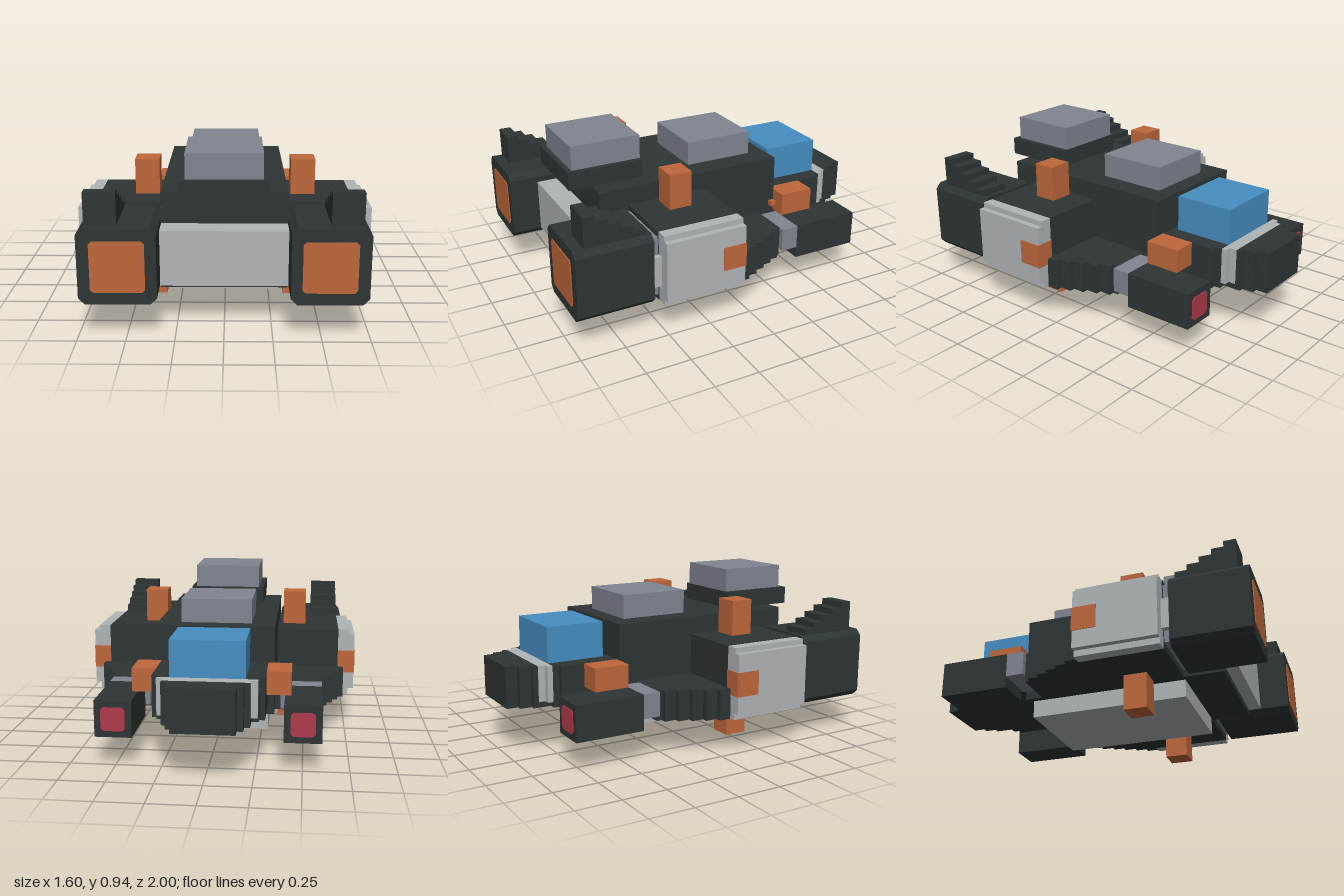
import * as THREE from 'three';

const mat = (name, color) => Object.assign(new THREE.MeshStandardMaterial({ color }), { name });

export function createModel() {
  const dark = mat('dark hull', 0x2d3534);
  const light = mat('light grey armour', 0xb0b5b8);
  const slate = mat('slate grey', 0x808591);
  const orange = mat('orange', 0xbf673b);
  const blue = mat('blue glass', 0x468fc2);
  const red = mat('red', 0xb03a4c);
  const ship = new THREE.Group();
  ship.name = 'ship';

  // Box given by its minimum and maximum on each axis
  function box(name, m, x0, x1, y0, y1, z0, z1) {
    const mesh = new THREE.Mesh(new THREE.BoxGeometry(x1 - x0, y1 - y0, z1 - z0), m);
    mesh.position.set((x0 + x1) / 2, (y0 + y1) / 2, (z0 + z1) / 2);
    mesh.name = name;
    ship.add(mesh);
    return mesh;
  }
  const mid = (name, m, hw, ...yz) => box(name, m, -hw, hw, ...yz);
  function pair(name, m, x0, x1, ...yz) {
    box(name + 'Left', m, x0, x1, ...yz);
    box(name + 'Right', m, -x1, -x0, ...yz);
  }

  // Block extruded along z with clipped corners, mirrored to both sides
  function clippedPair(name, m, x0, x1, y0, y1, z0, z1, c) {
    const w = (x1 - x0) / 2, h = (y1 - y0) / 2;
    const shape = new THREE.Shape([
      [w - c, -h], [w, c - h], [w, h - c], [w - c, h], [c - w, h], [-w, h - c], [-w, c - h], [c - w, -h],
    ].map(([x, y]) => new THREE.Vector2(x, y)));
    const geo = new THREE.ExtrudeGeometry(shape, { depth: z1 - z0, bevelEnabled: false });
    for (const s of [1, -1]) {
      const mesh = new THREE.Mesh(geo, m);
      mesh.position.set(s * (x0 + x1) / 2, (y0 + y1) / 2, z0);
      mesh.name = name + (s > 0 ? 'Left' : 'Right');
      ship.add(mesh);
    }
  }

  // Central hull, nose and belly
  mid('hull', dark, 0.335, 0.2, 0.7, -0.4, 0.7);
  mid('nosePlate', light, 0.333, 0.235, 0.535, 0.7, 0.83);
  mid('noseSill', dark, 0.335, 0.2, 0.235, 0.7, 0.76);
  mid('bellyPlate', light, 0.3, 0.1, 0.2, -0.365, 0.535);

  // Roof blocks
  mid('frontTurretBase', dark, 0.23, 0.7, 0.8, 0.4, 0.83);
  mid('frontTurret', slate, 0.2, 0.8, 0.935, 0.4, 0.8);
  mid('rearTurret', slate, 0.2, 0.7, 0.835, -0.3, 0.1);

  // Tail stepping inward, with a pale collar and glass cabin
  mid('tailHull', dark, 0.3, 0.27, 0.5, -0.735, -0.4);
  mid('tailStep', dark, 0.27, 0.27, 0.5, -0.77, -0.735);
  mid('tailCollarWide', light, 0.265, 0.3, 0.5, -0.8, -0.77);
  mid('tailCollarNarrow', light, 0.23, 0.3, 0.5, -0.84, -0.8);
  mid('tailKeel', dark, 0.23, 0.27, 0.3, -0.84, -0.77);
  [[0.23, -0.84, -0.87], [0.2, -0.87, -0.935], [0.167, -0.935, -1]].forEach(([w, a, b], i) =>
    mid('tailTip' + i, dark, w, 0.27, 0.5, b, a));
  mid('cabin', blue, 0.2, 0.5, 0.7, -0.77, -0.435);

  // Side pods with armour and an orange mark
  pair('sidePod', dark, 0.33, 0.7, 0.2, 0.6, 0.065, 0.535);
  pair('sideArmourInner', light, 0.7, 0.765, 0.2, 0.6, 0.067, 0.53);
  pair('sideArmourOuter', light, 0.765, 0.798, 0.235, 0.57, 0.067, 0.53);
  pair('sideMark', orange, 0.796, 0.802, 0.335, 0.47, 0.07, 0.2);
  pair('sideMarkRear', orange, 0.7, 0.8, 0.335, 0.47, 0.062, 0.07);

  // Stepped wings narrowing toward the back
  [0.733, 0.7, 0.667, 0.633, 0.6, 0.567].forEach((x, i) => {
    const z = 0.065 - i * 0.067;
    pair('wingStep' + i, dark, 0.32, x, 0.2, 0.37, Math.max(z - 0.067, -0.3), z);
  });

  // Front engines
  pair('engineJoint', slate, 0.35, 0.7, 0.235, 0.57, 0.53, 0.575);
  pair('engineJointPlate', light, 0.69, 0.735, 0.3, 0.47, 0.53, 0.572);
  clippedPair('engine', dark, 0.335, 0.733, 0.2, 0.6, 0.57, 0.995, 0.033);
  clippedPair('enginePanel', orange, 0.393, 0.67, 0.265, 0.535, 0.994, 1, 0.015);

  // Staircase fins on the engines
  for (let i = 0; i < 5; i++) {
    pair('finStep' + i, dark, 0.535, 0.7, 0.59, 0.635 + i * 0.0333, 0.6 + i * 0.0667, 0.6667 + i * 0.0667);
  }

  // Orange posts above and below
  pair('upperPost', orange, 0.365, 0.5, 0.6, 0.8, 0.235, 0.365);
  pair('lowerPost', orange, 0.335, 0.465, 0, 0.2, 0.235, 0.365);

  // Rear thrusters with couplings, red ends and orange boxes
  pair('thrusterCoupling', slate, 0.37, 0.6, 0.235, 0.37, -0.4, -0.3);
  pair('thruster', dark, 0.4, 0.6, 0.17, 0.37, -0.795, -0.4);
  clippedPair('thrusterEnd', red, 0.435, 0.565, 0.205, 0.335, -0.8, -0.794, 0.015);
  pair('thrusterBox', orange, 0.295, 0.433, 0.37, 0.5, -0.6, -0.4);
  pair('thrusterBoxPin', orange, 0.335, 0.367, 0.405, 0.435, -0.4, -0.367);

  return ship;
}
